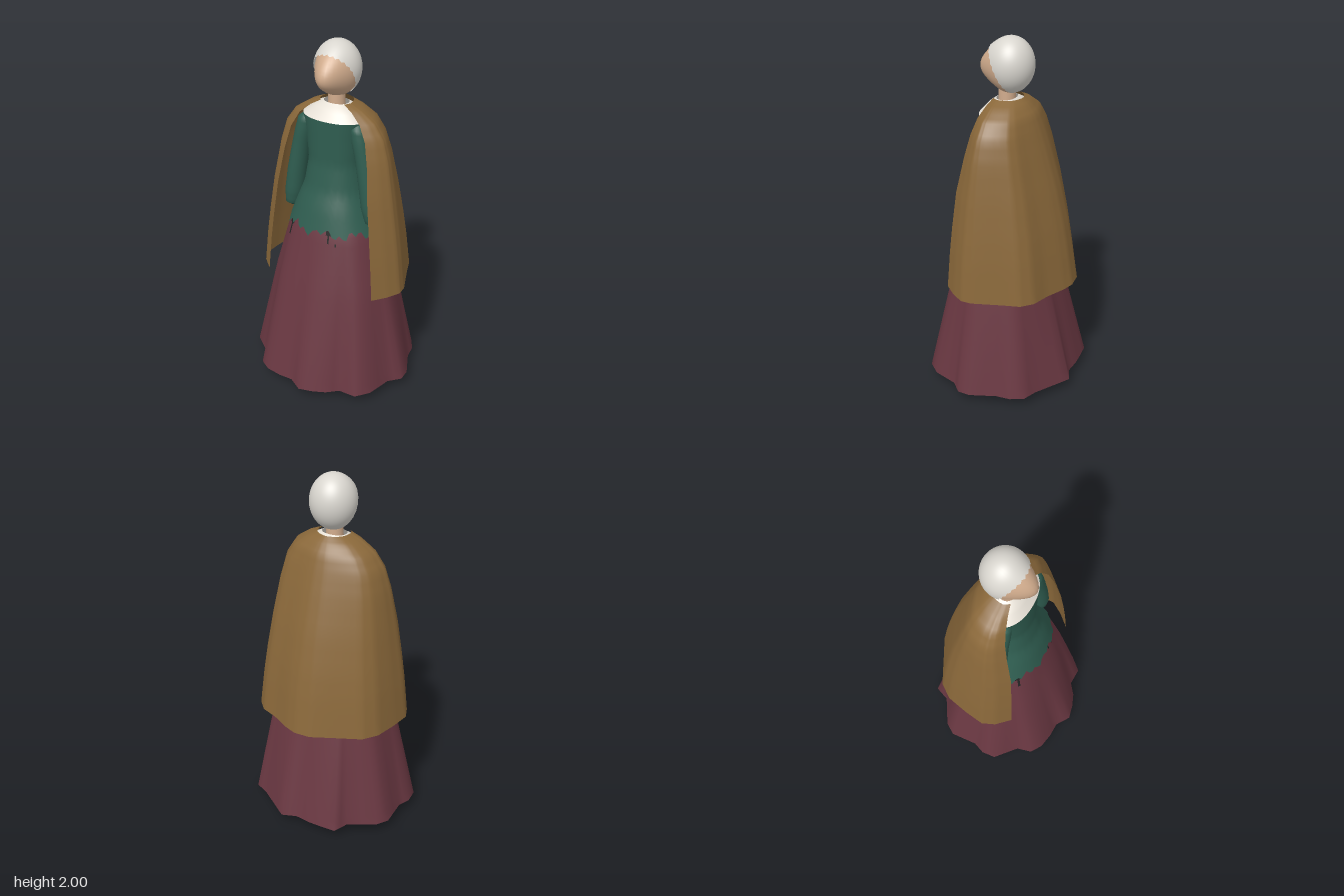
import * as THREE from 'three';
import { mergeVertices } from 'three/addons/utils/BufferGeometryUtils.js';

const mat = (name, color, side = THREE.DoubleSide) => {
  const m = new THREE.MeshStandardMaterial({ color, side });
  m.name = name;
  return m;
};

const lerp = THREE.MathUtils.lerp;

// Smooth surface from f(u, v); u runs back -> left -> front -> right, v runs downwards
function surface(f, nu, nv) {
  const pos = [], index = [], row = nu + 1;
  for (let j = 0; j <= nv; j++)
    for (let i = 0; i <= nu; i++) pos.push(...f(i / nu, j / nv));
  for (let j = 0; j < nv; j++)
    for (let i = 0; i < nu; i++) {
      const a = j * row + i, c = a + row;
      index.push(a, a + 1, c, a + 1, c + 1, c);
    }
  let g = new THREE.BufferGeometry();
  g.setAttribute('position', new THREE.Float32BufferAttribute(pos, 3));
  g.setIndex(index);
  g = mergeVertices(g, 1e-5);
  g.computeVertexNormals();
  return g;
}

// Linear lookup in a table of [y, ...values], y falling
function at(table, y) {
  let i = 0;
  while (i < table.length - 2 && y < table[i + 1][0]) i++;
  const a = table[i], b = table[i + 1];
  const t = THREE.MathUtils.clamp((a[0] - y) / (a[0] - b[0]), 0, 1);
  return a.map((v, k) => lerp(v, b[k], t));
}

// Point along a polyline of [x, z]
function along(pts, s) {
  const i = Math.min(Math.floor(s), pts.length - 2), t = s - i;
  return [lerp(pts[i][0], pts[i + 1][0], t), lerp(pts[i][1], pts[i + 1][1], t)];
}

const power = (v, p) => Math.sign(v) * Math.abs(v) ** p;

// Skirt: rounded waist widening to an irregular folded hem
const skirtRows = [[1.35, 0.12, 0.09], [1.1, 0.2, 0.15], [1.0, 0.25, 0.195], [0.64, 0.345, 0.29], [0.06, 0.465, 0.435]];
const hem = [[0, -.405], [.08, -.44], [.18, -.38], [.28, -.32], [.36, -.29], [.4, -.22], [.41, -.14], [.47, 0],
  [.47, .07], [.41, .13], [.37, .27], [.31, .34], [.21, .34], [.15, .39], [.08, .42], [0, .44], [-.08, .39],
  [-.16, .39], [-.25, .375], [-.315, .335], [-.34, .25], [-.46, .15], [-.47, .07], [-.445, 0], [-.46, -.155],
  [-.42, -.22], [-.28, -.31], [-.25, -.395], [-.16, -.405], [-.09, -.41], [0, -.405]];
function skirtPoint(s, y, grow = 0) {
  const [, w, d] = at(skirtRows, y), [hx, hz] = along(hem, s);
  const a = Math.atan2(hz / 0.435, hx / 0.465);
  const t = THREE.MathUtils.clamp((1 - y) / 0.94, 0, 1);
  return [(w + grow) * lerp(power(Math.cos(a), 0.85), hx / 0.465, t), y,
    (d + grow) * lerp(power(Math.sin(a), 0.85), hz / 0.435, t)];
}

// Elliptical body section from rows of [y, halfWidth, halfDepth]
function bodyPoint(rows, u, y, p = 0.9) {
  const [, w, d] = at(rows, y), a = u * Math.PI * 2;
  return [w * power(Math.sin(a), p), y, -d * power(Math.cos(a), p)];
}

// Cape: open in front, rows of [y, halfWidth, front, back]
const capeRows = [[1.68, 0.09, 0.045, 0.09], [1.65, 0.16, 0.06, 0.125], [1.6, 0.235, 0.08, 0.165], [1.52, 0.29, 0.1, 0.195],
  [1.4, 0.325, 0.125, 0.235], [1.2, 0.36, 0.163, 0.295], [1.0, 0.39, 0.18, 0.343], [0.85, 0.41, 0.19, 0.372], [0.64, 0.432, 0.2, 0.405]];
const capeEdge = [[-.33, .2], [-.4, .13], [-.432, .06], [-.42, -.05], [-.395, -.18], [-.34, -.26], [-.2, -.335], [-.09, -.395],
  [0, -.405], [.07, -.385], [.18, -.335], [.28, -.305], [.34, -.25], [.37, -.16], [.43, 0], [.432, .06], [.39, .13], [.33, .2]];
function capePoint(u, v) {
  const r = v * (capeRows.length - 1), i = Math.min(Math.floor(r), capeRows.length - 2);
  const [y, w, f, b] = capeRows[i].map((n, k) => lerp(n, capeRows[i + 1][k], r - i));
  const [ex, ez] = along(capeEdge, u * (capeEdge.length - 1));
  // folds fade out towards the shoulders
  const a = Math.atan2(ez / (ez > 0 ? 0.28 : 0.4), ex / 0.43), t = 0.3 + 0.7 * v;
  const sx = ez > 0 ? ex / 0.432 : lerp(Math.cos(a), ex / 0.432, t);
  const sz = ez > 0 ? (ez / 0.2) * f : lerp(Math.sin(a), ez / 0.405, t) * b;
  return [sx * w, y, sz];
}

// Head shape: ellipsoid drawn out to a point at the front
function shapeHead(g, rx, ry, rz) {
  const p = g.attributes.position;
  for (let i = 0; i < p.count; i++) {
    const x = p.getX(i), y = p.getY(i), z = p.getZ(i);
    const push = z > 0 ? 0.057 * z ** 4 : 0;
    p.setXYZ(i, x * rx, y * ry - push * 0.3, z * rz + push);
  }
  g.deleteAttribute('uv');
  g.deleteAttribute('normal');
  g = mergeVertices(g, 1e-5);
  g.computeVertexNormals();
  return g;
}

export function createModel() {
  const model = new THREE.Group();
  model.name = 'cloakedWoman';
  const maroon = mat('maroonSkirt', 0x6a3842);
  const ochre = mat('ochreCape', 0x8a683a);
  const green = mat('greenBodice', 0x2f5d50);
  const linen = mat('whiteLinen', 0xe6e0d6);
  const skin = mat('skin', 0xd0ab8c);
  const silver = mat('silverHair', 0xd9d6cf);
  const black = mat('blackLeather', 0x242424);
  const add = (name, g, m, x = 0, y = 0, z = 0, parent = model) => {
    const mesh = new THREE.Mesh(g, m);
    mesh.name = name;
    mesh.position.set(x, y, z);
    parent.add(mesh);
    return mesh;
  };

  add('skirt', surface((u, v) => skirtPoint(u * 30, lerp(1.35, 0.06, v)), 60, 24), maroon);
  add('cape', surface(capePoint, 68, 24), ochre);

  // Bodice with a ragged lower edge
  const bodiceRows = [[1.6, 0.185, 0.13], [1.5, 0.165, 0.13], [1.35, 0.15, 0.13], [1.2, 0.175, 0.155], [1.1, 0.215, 0.19], [0.95, 0.272, 0.23]];
  add('bodice', surface((u, v) => {
    const k = Math.round(u * 80) % 80;
    const ragged = 0.018 * Math.sin(k * 1.9) + 0.015 * Math.sin(k * 0.7);
    return bodyPoint(bodiceRows, u, lerp(1.6, 0.985 + ragged, v));
  }, 80, 20), green);
  const yokeRows = [[1.675, 0.07, 0.05], [1.65, 0.12, 0.085], [1.6, 0.185, 0.13]];
  add('linenYoke', surface((u, v) => bodyPoint(yokeRows, u, lerp(1.675, 1.6, v)), 48, 6), linen);

  // Dark scraps hanging below the bodice edge: [start, end, bottom]
  for (const [s0, s1, bottom] of [[18.6, 19.6, 0.965], [18.9, 19.25, 0.9], [13.2, 14.2, 0.975], [13.8, 14, 0.93], [12.9, 13.05, 0.92]])
    add('beltScrap', surface((u, v) => skirtPoint(lerp(s1, s0, 1 - u), lerp(s0 < 13 ? 0.935 : 1.0, bottom, v), 0.006), 4, 4), black);

  for (const side of [1, -1]) {
    const name = side > 0 ? 'left' : 'right';
    // Sleeve: lofted rings down the arm, [y, centreX, radius]
    const arm = [[1.6, 0.15, 0.012], [1.57, 0.155, 0.045], [1.5, 0.17, 0.05], [1.4, 0.193, 0.05], [1.25, 0.22, 0.054], [1.12, 0.238, 0.055], [1.04, 0.25, 0.045], [1.015, 0.255, 0.015]];
    add(name + 'Sleeve', surface((u, v) => {
      const r = v * 7, i = Math.min(Math.floor(r), 6), a = u * Math.PI * 2;
      const [y, cx, rad] = arm[i].map((n, k) => lerp(n, arm[i + 1][k], r - i));
      return [side * cx + rad * Math.sin(a), y, 0.045 - rad * 1.1 * Math.cos(a)];
    }, 24, 21), green);

    // Boot
    const boot = new THREE.Group();
    boot.name = name + 'Boot';
    model.add(boot);
    add('foot', new THREE.SphereGeometry(1, 24, 16).scale(0.05, 0.052, 0.107), black, side * 0.1, 0.052, 0.035, boot);
    add('shaft', new THREE.CylinderGeometry(0.055, 0.036, 0.65, 20), black, side * 0.1, 0.38, -0.015, boot);
  }

  // Neck, head and hair
  add('neck', new THREE.CylinderGeometry(0.044, 0.048, 0.17, 24), skin, 0, 1.675, 0);
  add('head', shapeHead(new THREE.SphereGeometry(1, 40, 28), 0.117, 0.145, 0.118), skin, -0.005, 1.845, -0.02);
  const cap = new THREE.SphereGeometry(1, 48, 28, 0, Math.PI * 2, 0, 1.9);
  const p = cap.attributes.position;
  for (let i = p.count - 49; i < p.count; i++) {
    // uneven hairline
    const k = (i - p.count + 49) % 48, th = 1.9 + (k % 2 ? 0.035 : -0.02);
    const a = (k / 48) * Math.PI * 2;
    p.setXYZ(i, -Math.cos(a) * Math.sin(th), Math.cos(th), Math.sin(a) * Math.sin(th));
  }
  cap.rotateX(-1.07);
  add('hair', shapeHead(cap, 0.126, 0.15, 0.126), silver, -0.005, 1.85, -0.02);

  return model;
}
